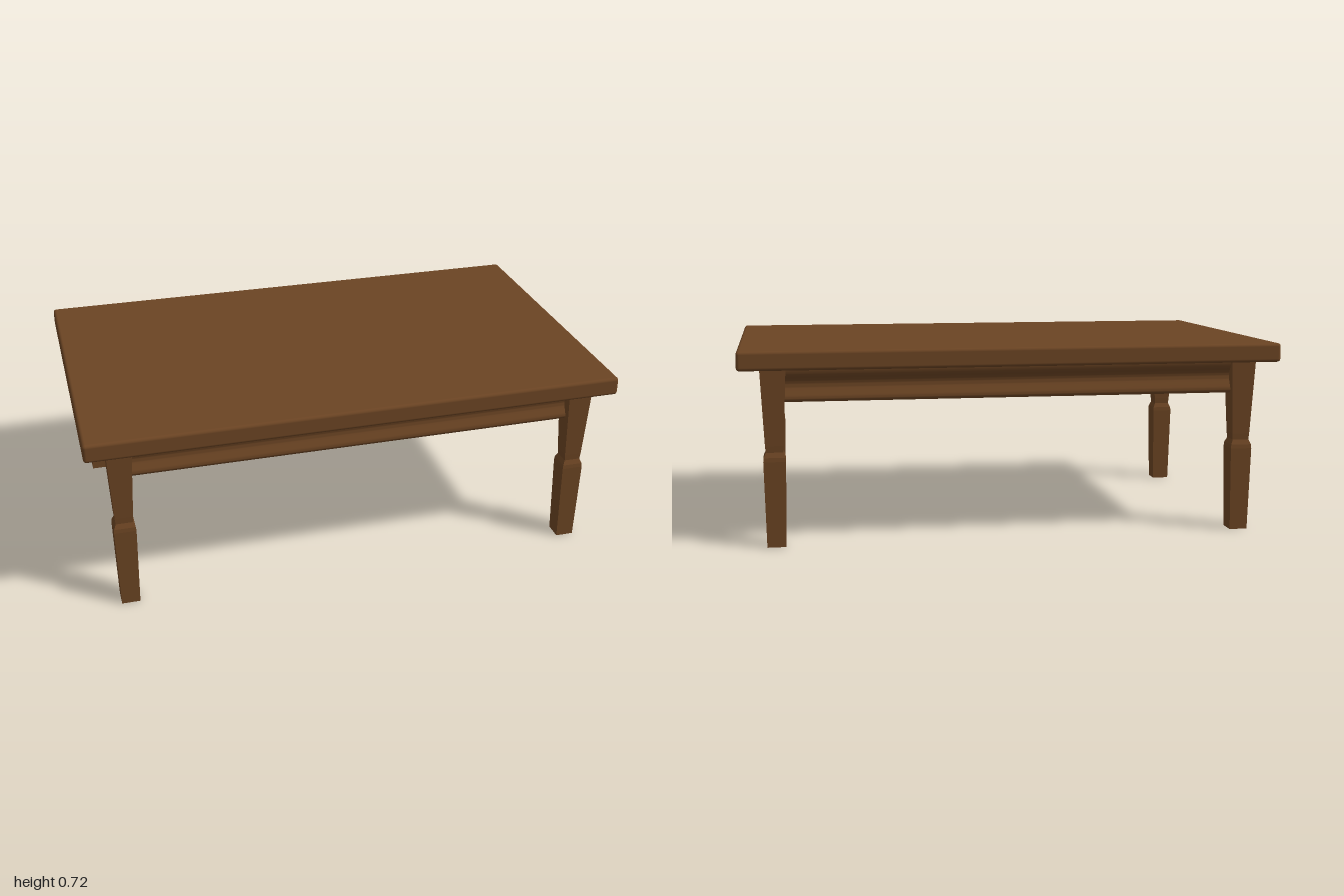
import * as THREE from 'three';
import { toCreasedNormals } from 'three/addons/utils/BufferGeometryUtils.js';
import { RoundedBoxGeometry } from 'three/addons/geometries/RoundedBoxGeometry.js';

const LEG_X = 0.875, LEG_Z = 0.509, TOP_Y = 0.65;

// Square leg: [half width, height] from the foot up
function legGeometry() {
  const profile = [
    [0, 0], [0.034, 0], [0.0405, 0.315], [0.039, 0.33], [0.031, 0.348],
    [0.033, 0.372], [0.04, 0.52], [0.046, TOP_Y], [0, TOP_Y],
  ].map(([w, y]) => new THREE.Vector2(w * Math.SQRT2, y));
  const geometry = new THREE.LatheGeometry(profile, 4, Math.PI / 4).toNonIndexed();
  geometry.computeVertexNormals();
  return geometry;
}

// Moulded apron: a closed section [offset from leg centre line, height] mitred round the rectangle
function apronGeometry() {
  const cove = new THREE.SplineCurve([
    [0.008, 0.527], [0.015, 0.535], [0.015, 0.548], [0.007, 0.568],
    [0.002, 0.585], [0.006, 0.604], [0.02, 0.622], [0.026, 0.632],
  ].map(([d, y]) => new THREE.Vector2(d, y))).getPoints(28);
  const section = [
    new THREE.Vector2(-0.065, 0.527), ...cove,
    new THREE.Vector2(0.026, TOP_Y), new THREE.Vector2(-0.065, TOP_Y),
  ];
  const corners = [[1, 1], [1, -1], [-1, -1], [-1, 1]];
  const n = section.length, positions = [], index = [];
  for (const [sx, sz] of corners)
    for (const p of section) positions.push(sx * (LEG_X + p.x), p.y, sz * (LEG_Z + p.x));
  for (let c = 0; c < 4; c++)
    for (let i = 0; i < n; i++) {
      const j = (i + 1) % n, d = ((c + 1) % 4) * n;
      const a = c * n + i, b = d + i, e = d + j, f = c * n + j;
      index.push(a, b, e, a, e, f);
    }
  const geometry = new THREE.BufferGeometry();
  geometry.setAttribute('position', new THREE.Float32BufferAttribute(positions, 3));
  geometry.setIndex(index);
  return toCreasedNormals(geometry, 0.7);
}

export function createModel() {
  const table = new THREE.Group();
  table.name = 'table';
  const wood = new THREE.MeshStandardMaterial({ color: 0x6b4423 });
  wood.name = 'brown wood';

  const add = (name, geometry, x = 0, y = 0, z = 0) => {
    const mesh = new THREE.Mesh(geometry, wood);
    mesh.name = name;
    mesh.position.set(x, y, z);
    table.add(mesh);
  };

  // Table top with softly rounded edges
  add('tableTop', new RoundedBoxGeometry(2, 0.07, 1.212, 4, 0.012), 0, TOP_Y + 0.034, 0);
  add('apron', apronGeometry());

  // Four legs
  const leg = legGeometry();
  for (const [front, sz] of [['front', 1], ['back', -1]])
    for (const [side, sx] of [['Left', 1], ['Right', -1]])
      add(`${front}${side}Leg`, leg, sx * LEG_X, 0, sz * LEG_Z);

  return table;
}
